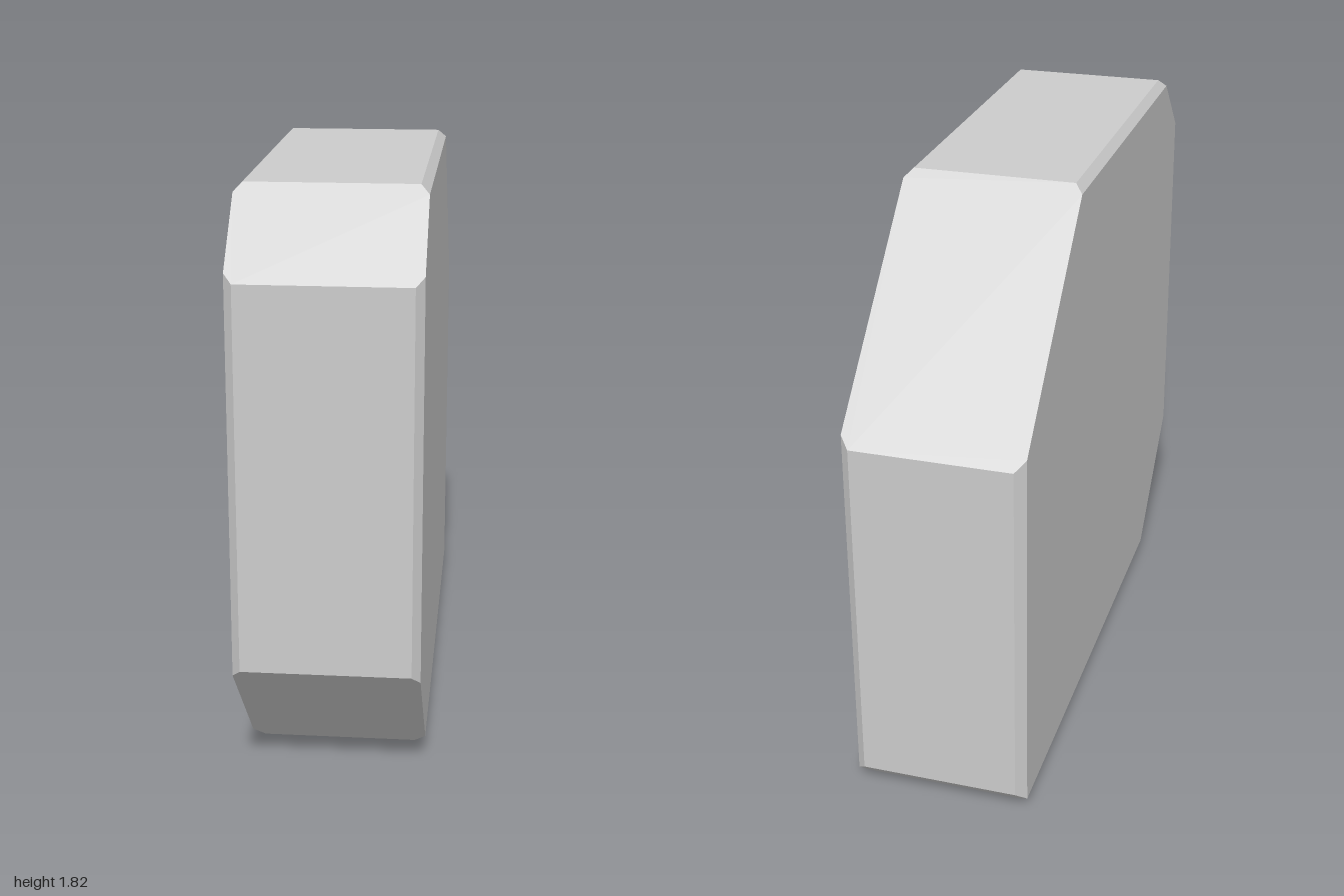
import * as THREE from 'three';
import { ConvexGeometry } from 'three/addons/geometries/ConvexGeometry.js';

const HALF_WIDTH = 0.275;

// Each straight rim edge: its two ends as [z, y], and the size of its 45 degree bevel.
// The four diagonal corner cuts between the edges have no bevel.
const rimEdges = [
  { name: 'front', ends: [[1, 0.425], [1, 1.575]], bevel: 0.025 },
  { name: 'top', ends: [[0.76, 1.815], [-0.37, 1.815]], bevel: 0.025 },
  { name: 'back', ends: [[-1, 1.185], [-1, 0.065]], bevel: 0.03 },
  { name: 'bottom', ends: [[-0.935, 0], [0.575, 0]], bevel: 0.035 },
];

export function createModel() {
  const points = [];
  const addMirrored = (x, y, z) => {
    points.push(new THREE.Vector3(x, y, z), new THREE.Vector3(-x, y, z));
  };

  for (const { ends, bevel } of rimEdges) {
    const [a, b] = ends.map(([z, y]) => new THREE.Vector2(z, y));
    const along = b.clone().sub(a).normalize();
    const inward = new THREE.Vector2(-along.y, along.x);
    for (const [end, outward] of [[a, -1], [b, 1]]) {
      // Rim corner, narrowed by the bevel
      addMirrored(HALF_WIDTH - bevel, end.y, end.x);
      // Side face corner, sliding inward along the diagonal cut
      const side = end.clone().addScaledVector(inward, bevel).addScaledVector(along, outward * bevel);
      addMirrored(HALF_WIDTH, side.y, side.x);
    }
  }

  // Solid slab with cut corners and bevelled rims
  const slab = new THREE.Mesh(
    new ConvexGeometry(points),
    new THREE.MeshStandardMaterial({ color: 0xcccccc, flatShading: true })
  );
  slab.name = 'bevelledSlab';

  const group = new THREE.Group();
  group.name = 'cutCornerBlock';
  group.add(slab);
  return group;
}
